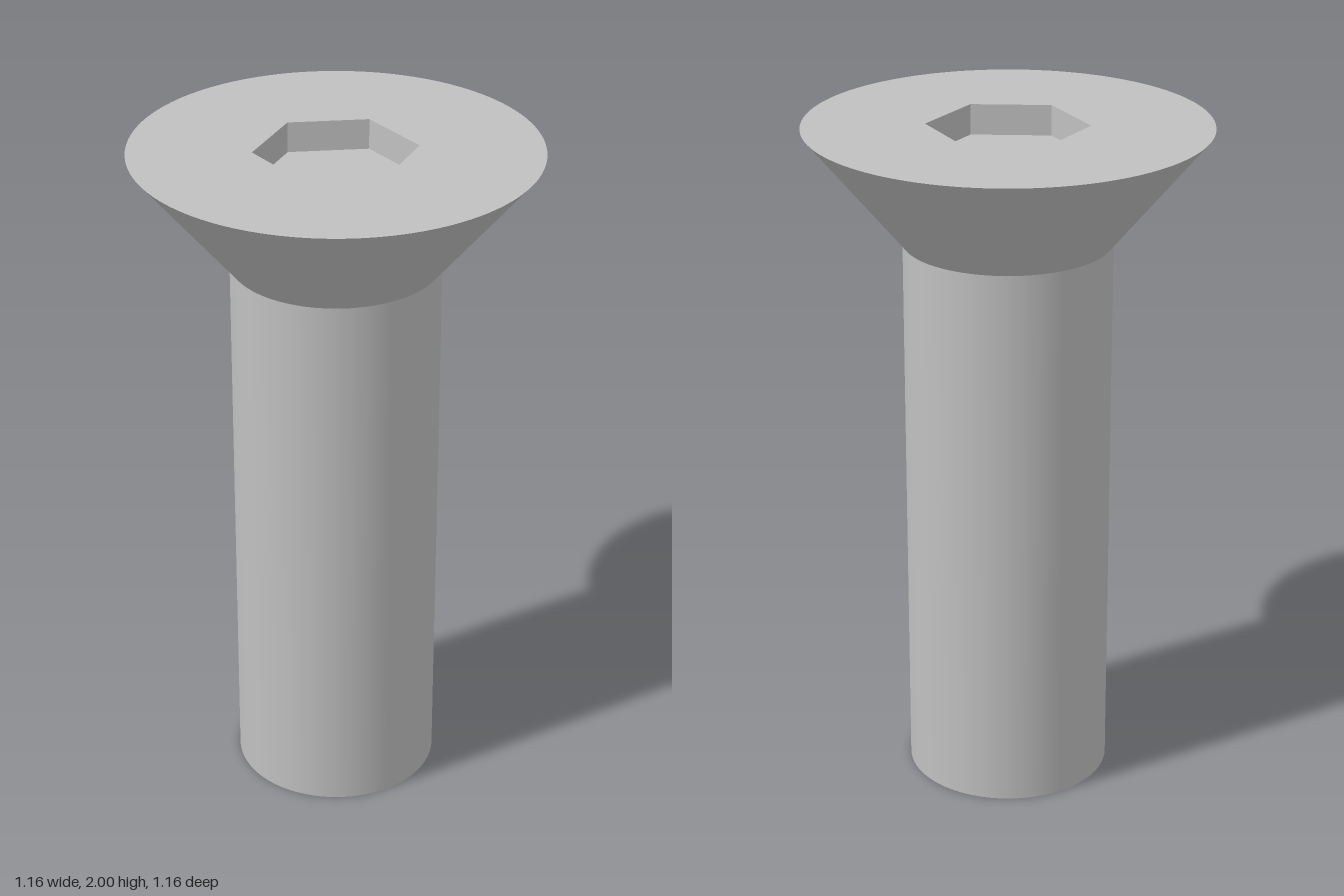
import * as THREE from 'three';

const SEGMENTS = 96;
const SHANK_R = 0.3, HEAD_R = 0.58, HEAD_Y = 1.66, TOP_Y = 2;
const HEX_R = 0.232, HEX_DEPTH = 0.09;

// Hexagon corners, with two of them on the x axis
function hexPoints() {
  return Array.from({ length: 6 }, (_, i) => {
    const a = (i * Math.PI) / 3;
    return new THREE.Vector2(HEX_R * Math.cos(a), HEX_R * Math.sin(a));
  });
}

export function createModel() {
  const group = new THREE.Group();
  group.name = 'countersunkScrew';
  const steel = new THREE.MeshStandardMaterial({ color: 0xc0c0c0 });
  steel.name = 'steel grey';

  const add = (name, geometry, y) => {
    const mesh = new THREE.Mesh(geometry, steel);
    mesh.name = name;
    mesh.position.y = y;
    group.add(mesh);
  };

  // Plain round shank and its flat end
  add('shank', new THREE.CylinderGeometry(SHANK_R, SHANK_R, HEAD_Y, SEGMENTS, 1, true), HEAD_Y / 2);
  add('shankEnd', new THREE.CircleGeometry(SHANK_R, SEGMENTS).rotateX(Math.PI / 2), 0);

  // Conical underside of the head
  const headH = TOP_Y - HEAD_Y;
  add('headCone', new THREE.CylinderGeometry(HEAD_R, SHANK_R, headH, SEGMENTS, 1, true), HEAD_Y + headH / 2);

  // Flat top with a hexagonal opening
  const top = new THREE.Shape().absarc(0, 0, HEAD_R, 0, Math.PI * 2, false);
  top.holes.push(new THREE.Path(hexPoints().reverse()));
  add('headTop', new THREE.ShapeGeometry(top, SEGMENTS).rotateX(-Math.PI / 2), TOP_Y);

  // Socket walls, mirrored so that they face inward
  const walls = new THREE.CylinderGeometry(HEX_R, HEX_R, HEX_DEPTH, 6, 1, true)
    .rotateY(Math.PI / 2).scale(-1, 1, 1).toNonIndexed();
  walls.computeVertexNormals();
  add('socketWalls', walls, TOP_Y - HEX_DEPTH / 2);

  // Socket floor
  const floor = new THREE.ShapeGeometry(new THREE.Shape(hexPoints())).rotateX(-Math.PI / 2);
  add('socketFloor', floor, TOP_Y - HEX_DEPTH);

  return group;
}
